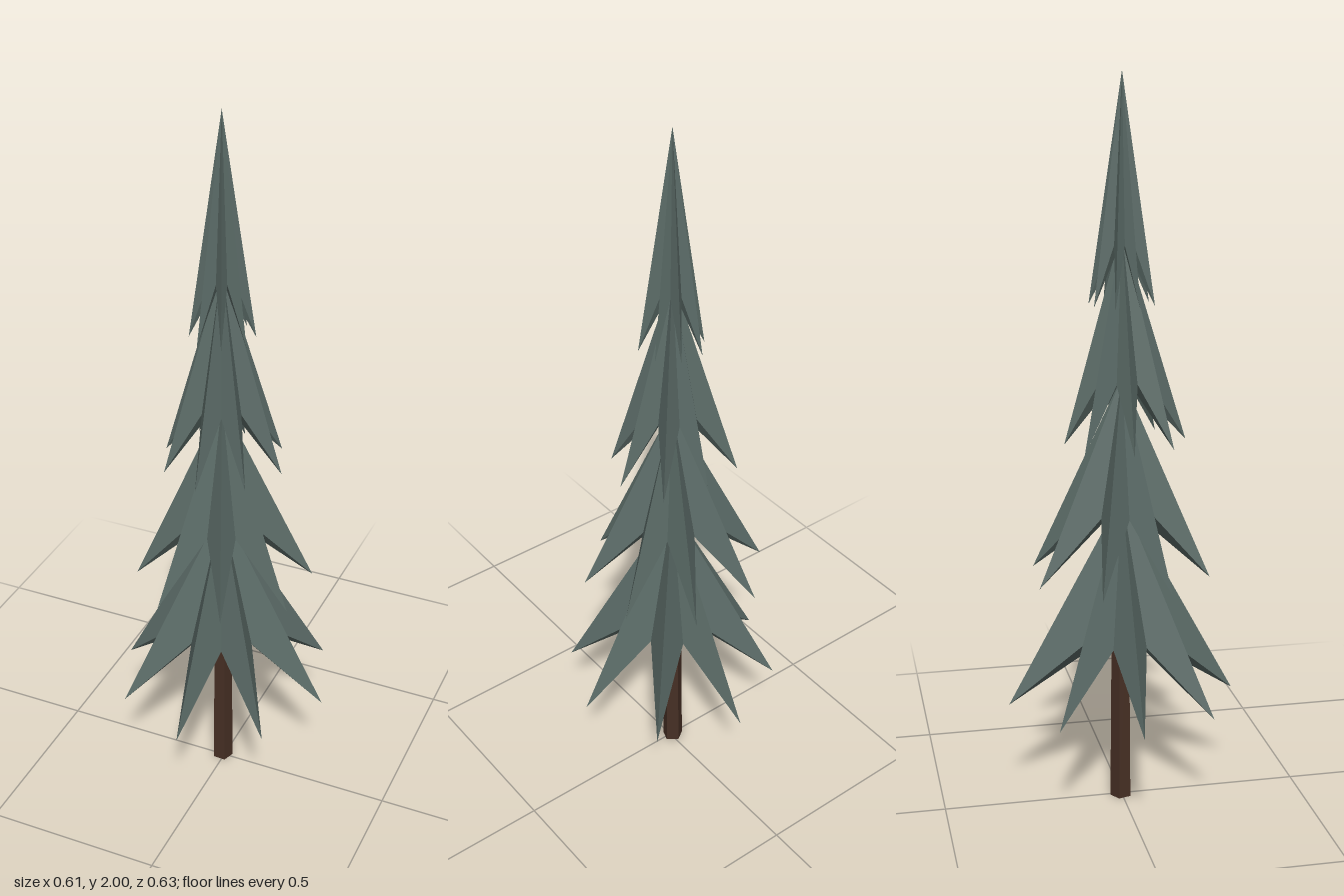
import * as THREE from 'three';

const AXIS_X = -0.007;

// Star-shaped cone: pointed branches hang from the apex, with a shallow underside
function starCone({ apex, tipY, tips, valleyY, valleyR, underY, turn }) {
  const n = tips.length;
  const step = (Math.PI * 2) / n;
  const at = (r, a, y) => [r * Math.cos(a), y, r * Math.sin(a)];
  const top = [0, apex, 0];
  const under = [0, underY, 0];
  const pos = [];
  tips.forEach((r, i) => {
    const a = turn + i * step;
    const tip = at(r, a, tipY);
    const before = at(valleyR, a - step / 2, valleyY);
    const after = at(valleyR, a + step / 2, valleyY);
    pos.push(...top, ...after, ...tip, ...top, ...tip, ...before);
    pos.push(...under, ...tip, ...after, ...under, ...before, ...tip);
  });
  const g = new THREE.BufferGeometry();
  g.setAttribute('position', new THREE.Float32BufferAttribute(pos, 3));
  g.computeVertexNormals();
  return g;
}

export function createModel() {
  const tree = new THREE.Group();
  tree.name = 'pineTree';

  const needles = new THREE.MeshStandardMaterial({ color: 0x5a6a66 });
  needles.name = 'needleGreen';
  needles.flatShading = true;
  const bark = new THREE.MeshStandardMaterial({ color: 0x462f24 });
  bark.name = 'barkBrown';
  bark.flatShading = true;

  // Foliage tiers from bottom to top, every other one turned half a branch
  const half = Math.PI / 8;
  const tiers = [
    { apex: 0.88, tipY: 0.3, valleyY: 0.48, valleyR: 0.12, underY: 0.5, turn: 0,
      tips: [0.31, 0.302, 0.315, 0.299, 0.297, 0.298, 0.317, 0.323] },
    { apex: 1.21, tipY: 0.665, valleyY: 0.84, valleyR: 0.1, underY: 0.86, turn: half,
      tips: [0.252, 0.238, 0.242, 0.237, 0.259, 0.263, 0.25, 0.252] },
    { apex: 1.6, tipY: 1.03, valleyY: 1.2, valleyR: 0.073, underY: 1.22, turn: 0,
      tips: [0.172, 0.165, 0.175, 0.165, 0.165, 0.175, 0.157, 0.175] },
    { apex: 2, tipY: 1.4, valleyY: 1.56, valleyR: 0.037, underY: 1.57, turn: half,
      tips: [0.09, 0.086, 0.088, 0.085, 0.085, 0.088, 0.09, 0.088] },
  ];
  tiers.forEach((t, i) => {
    const mesh = new THREE.Mesh(starCone(t), needles);
    mesh.name = `foliageTier${i + 1}`;
    mesh.position.x = AXIS_X;
    tree.add(mesh);
  });

  // Slightly tapered five-sided trunk
  const trunk = new THREE.Mesh(new THREE.CylinderGeometry(0.025, 0.03, 0.6, 5), bark);
  trunk.name = 'trunk';
  trunk.position.set(AXIS_X, 0.3, -0.003);
  trunk.rotation.y = 0.6;
  tree.add(trunk);

  return tree;
}
